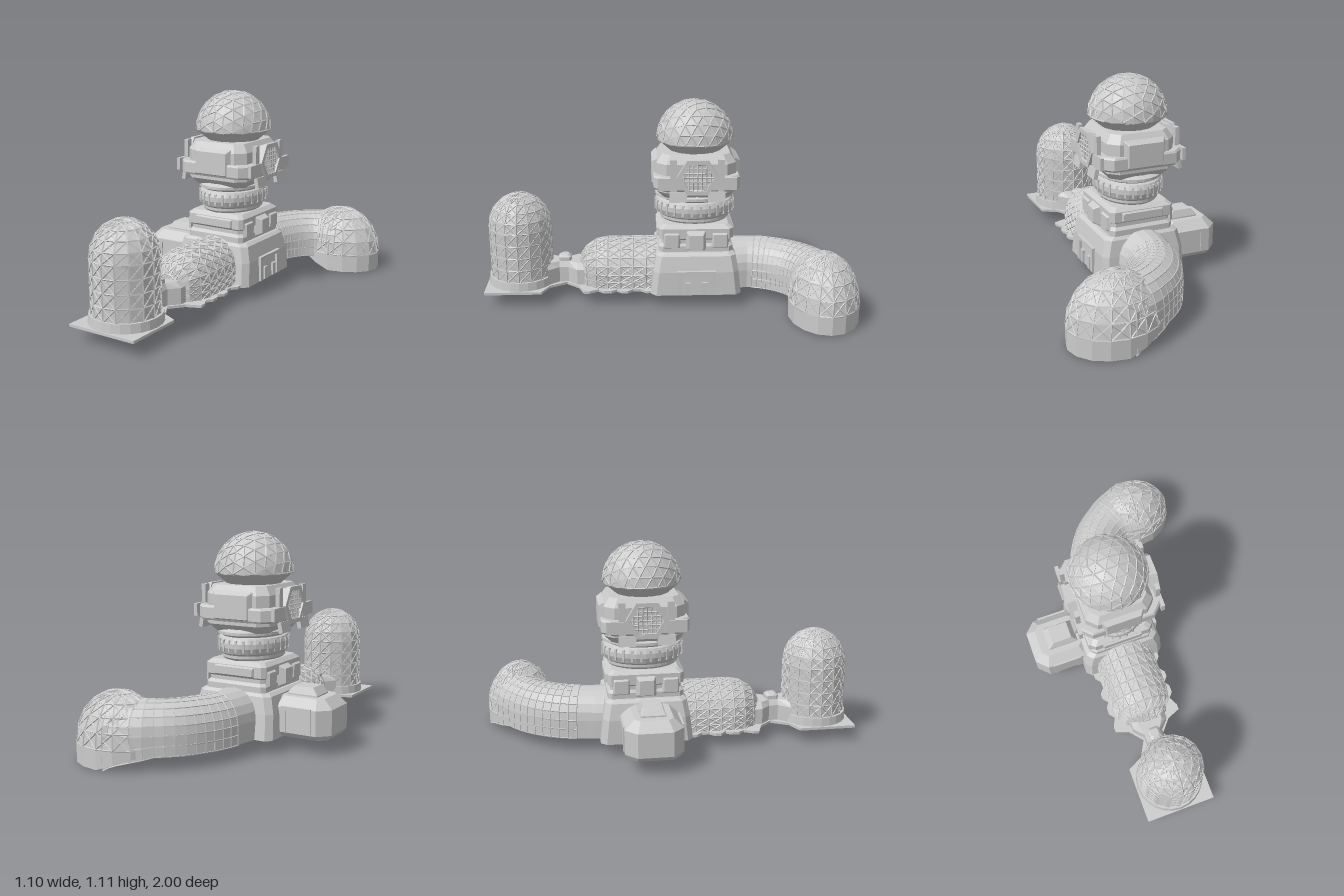
import * as THREE from 'three';
import { mergeGeometries } from 'three/addons/utils/BufferGeometryUtils.js';

const V = (x, y, z) => new THREE.Vector3(x, y, z);
const grey = new THREE.MeshStandardMaterial({ color: 0xcccccc, flatShading: true, side: THREE.DoubleSide });
const CX = -0.055, CZ = -0.15; // tower axis

function mesh(name, geo, parent, x = 0, y = 0, z = 0) {
  const m = new THREE.Mesh(geo, grey);
  m.name = name;
  m.position.set(x, y, z);
  parent.add(m);
  return m;
}

const box = (name, parent, w, h, d, x, y, z) => mesh(name, new THREE.BoxGeometry(w, h, d), parent, x, y, z);

// Closed skin through a list of equal-length loops, capped at both ends
function loft(loops) {
  const pos = [];
  const tri = (a, b, c) => {
    if (a.distanceTo(b) < 1e-5 || b.distanceTo(c) < 1e-5 || a.distanceTo(c) < 1e-5) return;
    pos.push(...a.toArray(), ...b.toArray(), ...c.toArray());
  };
  const n = loops[0].length, last = loops[loops.length - 1];
  for (let i = 0; i + 1 < loops.length; i++) for (let j = 0; j < n; j++) {
    const k = (j + 1) % n, p = loops[i], q = loops[i + 1];
    tri(p[j], p[k], q[k]);
    tri(p[j], q[k], q[j]);
  }
  const mid = l => l.reduce((s, p) => s.add(p), V(0, 0, 0)).divideScalar(n);
  const m0 = mid(loops[0]), m1 = mid(last);
  for (let j = 0; j < n; j++) {
    const k = (j + 1) % n;
    tri(m0, loops[0][k], loops[0][j]);
    tri(m1, last[j], last[k]);
  }
  const g = new THREE.BufferGeometry();
  g.setAttribute('position', new THREE.Float32BufferAttribute(pos, 3));
  g.computeVertexNormals();
  return g;
}

// Block with cut corners; levels are [y, halfX, halfZ, cut]
function block(levels) {
  return loft(levels.map(([y, a, b, c = 0.004]) => [
    [a, -b + c], [a - c, -b], [-a + c, -b], [-a, -b + c], [-a, b - c], [-a + c, b], [a - c, b], [a, b - c],
  ].map(([x, z]) => V(x, y, z)).reverse().map(p => V(p.x, p.y, -p.z)).reverse().map(p => V(p.x, p.y, -p.z))));
}

// Raised panel with bevelled edges, growing along +y before rotation
const panel = (a, b, d, inset) => block([[0, a, b], [d, a - inset, b - inset]]);

// Thin round bars along a list of [start, end] pairs
function struts(name, pairs, r, parent) {
  const up = V(0, 1, 0), geos = [];
  for (const [a, b] of pairs) {
    const d = b.clone().sub(a), len = d.length();
    if (len < 0.006) continue;
    const g = new THREE.CylinderGeometry(r, r, len, 4, 1, true);
    g.applyQuaternion(new THREE.Quaternion().setFromUnitVectors(up, d.normalize()));
    const c = a.clone().add(b).multiplyScalar(0.5);
    geos.push(g.translate(c.x, c.y, c.z));
  }
  return mesh(name, mergeGeometries(geos), parent);
}

// Skin with bars along its grid; cross adds an X to each pane
function lattice(name, loops, parent, { round = false, cross = true, from = 0, r = 0.0045 } = {}) {
  const g = new THREE.Group(), pairs = [], n = loops[0].length;
  g.name = name;
  mesh(name + 'Skin', loft(loops), g);
  for (let i = from; i < loops.length; i++) for (let j = 0; j < n; j++) {
    const k = (j + 1) % n, edge = round || k > 0, p = loops[i], q = loops[i + 1];
    if (edge) pairs.push([p[j], p[k]]);
    if (!q) continue;
    pairs.push([p[j], q[j]]);
    if (edge && cross) pairs.push([p[j], q[k]], [p[k], q[j]]);
  }
  struts(name + 'Struts', pairs, r, g);
  parent.add(g);
}

const ring = (x, y, z, rx, rz = rx, n = 16) => Array.from({ length: n }, (_, j) => {
  const a = (j / n) * Math.PI * 2;
  return V(x + rx * Math.cos(a), y, z - rz * Math.sin(a));
});

// Arched tunnel section at point p, heading along t
function arch(p, t, w, bottom, spring, top, n = 10) {
  const s = V(0, 1, 0).cross(t).normalize();
  const at = (u, y) => V(p.x + s.x * u, y, p.z + s.z * u);
  const pts = [at(w, bottom), at(w, (bottom + spring) / 2)];
  for (let j = 0; j <= n; j++) {
    const a = (j / n) * Math.PI;
    pts.push(at(w * Math.cos(a), spring + (top - spring) * Math.sin(a)));
  }
  return [...pts, at(-w, (bottom + spring) / 2), at(-w, bottom)];
}

function flatShape(pts, depth, holes = []) {
  const s = new THREE.Shape(pts.map(p => new THREE.Vector2(...p)));
  holes.forEach(h => s.holes.push(new THREE.Path(h.map(p => new THREE.Vector2(...p)))));
  return new THREE.ExtrudeGeometry(s, { depth, bevelEnabled: false });
}

function buildFrontRow(root) {
  // Base plate with notched edges, mirrored about the tower axis
  const half = [[0.2, 0.08], [0.2, 0.12], [0.175, 0.15], [0.175, 0.19], [0.2, 0.22], [0.2, 0.25], [0.175, 0.28],
    [0.195, 0.31], [0.195, 0.35], [0.17, 0.38], [0.195, 0.43], [0.195, 0.46], [0.12, 0.49], [0.06, 0.56],
    [0.11, 0.65], [0.195, 0.69], [0.195, 1.0]];
  const outline = [...half, ...half.map(([x, z]) => [-x, z]).reverse()];
  mesh('basePlate', flatShape(outline, 0.014), root, CX, 0.084, 0).rotation.x = Math.PI / 2;

  // Tall silo with domed top
  const z = 0.81, silo = [];
  for (let i = 0; i <= 4; i++) silo.push(ring(CX, 0.125 + i * 0.07, z, 0.17));
  for (let i = 1; i <= 5; i++) {
    const a = (i / 5) * Math.PI / 2;
    silo.push(ring(CX, 0.405 + 0.182 * Math.sin(a), z, 0.17 * Math.cos(a)));
  }
  lattice('silo', silo, root, { round: true });
  mesh('siloBase', new THREE.CylinderGeometry(0.182, 0.187, 0.05, 24), root, CX, 0.105, z);

  // Straight tunnel with rounded end
  const tunnel = [], dir = V(0, 0, 1);
  for (let i = 0; i <= 4; i++) tunnel.push(arch(V(CX, 0, 0.05 + i * 0.07), dir, 0.163, 0.08, 0.16, 0.318));
  for (let i = 1; i <= 4; i++) {
    const a = (i / 4) * Math.PI / 2, c = Math.cos(a);
    tunnel.push(arch(V(CX, 0, 0.33 + 0.165 * Math.sin(a)), dir, 0.163 * c, 0.08, 0.16, 0.16 + 0.158 * c));
  }
  lattice('frontTunnel', tunnel, root);

  // Waisted passage between tunnel and silo
  const waist = [[0.45, 0.1], [0.5, 0.1], [0.55, 0.052], [0.6, 0.052], [0.66, 0.1]];
  mesh('passage', loft(waist.map(([zz, w]) => [[w, 0.08], [w, 0.17], [w * 0.7, 0.2], [-w * 0.7, 0.2], [-w, 0.17], [-w, 0.08]]
    .map(([x, y]) => V(CX + x, y, zz)))), root);
  mesh('passageHatch', block([[0.19, 0.035, 0.035, 0.01], [0.22, 0.035, 0.035, 0.01], [0.232, 0.022, 0.022, 0.01]]), root, CX, 0, 0.57);
}

function buildBackRow(root) {
  // Curved ribbed tunnel
  const path = new THREE.CatmullRomCurve3([V(CX, 0, -0.34), V(-0.052, 0, -0.46), V(-0.015, 0, -0.59),
    V(0.065, 0, -0.71), V(0.18, 0, -0.79), V(0.31, 0, -0.815)]);
  const loops = [];
  for (let i = 0; i <= 18; i++) {
    const u = i / 18, p = path.getPointAt(u);
    const down = THREE.MathUtils.clamp((p.x - 0.13) / 0.18, 0, 1);
    loops.push(arch(p, path.getTangentAt(u), 0.135 + 0.02 * Math.max(0, 1 - u * 6) + 0.045 * down, 0.07 * (1 - down), 0.17, 0.315));
  }
  lattice('curvedTunnel', loops, root, { cross: false, from: 4, r: 0.0035 });

  // Low end dome on a solid foot that slopes up under the tunnel
  const dome = [];
  for (let i = 0; i <= 5; i++) {
    const a = (i / 5) * Math.PI / 2;
    dome.push(ring(0.31, 0.1 + 0.253 * Math.sin(a), -0.815, 0.233 * Math.cos(a), 0.183 * Math.cos(a)));
  }
  lattice('endDome', dome, root, { round: true });
  const foot = ring(0.31, 0, -0.815, 0.235, 0.185);
  foot.forEach(p => { p.y = 0.065 * THREE.MathUtils.clamp((0.31 - p.x) / 0.18, 0, 1); });
  mesh('endDomeFoot', loft([foot, ring(0.31, 0.1, -0.815, 0.235, 0.185)]), root);
}

function buildBody(t) {
  // Stepped body
  mesh('lowerBody', block([[0.07, 0.235, 0.245, 0.03], [0.2, 0.23, 0.23, 0.03], [0.285, 0.21, 0.215, 0.03], [0.3, 0.19, 0.2, 0.03]]), t);
  mesh('upperBody', block([[0.29, 0.175, 0.2, 0.02], [0.33, 0.175, 0.2, 0.02], [0.345, 0.165, 0.185, 0.02],
    [0.365, 0.165, 0.185, 0.02], [0.375, 0.178, 0.2, 0.02], [0.43, 0.178, 0.2, 0.02], [0.45, 0.155, 0.175, 0.02]]), t);
  for (const s of [1, -1]) {
    mesh('sideHatch', panel(0.058, 0.055, 0.042, 0.018), t, s * 0.17, 0.365, 0).rotation.z = -s * Math.PI / 2;
    for (const z of [0.13, -0.13]) mesh('sideRib', panel(0.045, 0.045, 0.018, 0.01), t, s * 0.172, 0.365, z).rotation.z = -s * Math.PI / 2;
    mesh('bodyPanel', panel(0.12, 0.03, 0.015, 0.01), t, 0, 0.4, s * 0.195).rotation.x = s * Math.PI / 2;
  }
  // Side door
  for (const s of [1, -1]) {
    box('doorPost', t, 0.03, 0.12, 0.03, 0.23, 0.135, s * 0.09);
    box('doorStep', t, 0.02, 0.07, 0.03, 0.235, 0.11, s * 0.045);
  }
  box('doorLintel', t, 0.03, 0.02, 0.21, 0.23, 0.2, 0);

  // Ribbed neck, narrower across than deep
  const neck = new THREE.Group();
  neck.name = 'neck';
  neck.scale.x = 0.82;
  t.add(neck);
  const profile = [[0.17, 0.44], [0.19, 0.46], [0.19, 0.475], [0.205, 0.485], [0.218, 0.515], [0.218, 0.54], [0.205, 0.565],
    [0.19, 0.57], [0.2, 0.575], [0.215, 0.582], [0.215, 0.597], [0.19, 0.61]].map(p => new THREE.Vector2(...p));
  mesh('neckRings', new THREE.LatheGeometry(profile, 28), neck);
  for (let i = 0; i < 28; i++) {
    const a = (i + 0.5) / 28 * Math.PI * 2;
    box('neckRib', neck, 0.012, 0.06, 0.012, 0.214 * Math.sin(a), 0.527, 0.214 * Math.cos(a)).rotation.y = a;
  }
}

function buildHead(t) {
  mesh('headCore', block([[0.595, 0.155, 0.17, 0.04], [0.635, 0.185, 0.21, 0.05], [0.79, 0.185, 0.21, 0.05], [0.835, 0.155, 0.18, 0.04]]), t);
  mesh('headBand', block([[0.655, 0.225, 0.222, 0.06], [0.665, 0.232, 0.228, 0.06], [0.72, 0.232, 0.228, 0.06], [0.73, 0.225, 0.222, 0.06]]), t);
  const hex = r => Array.from({ length: 6 }, (_, i) => [r * Math.cos(i * Math.PI / 3), r * 0.98 * Math.sin(i * Math.PI / 3)]);
  for (const s of [1, -1]) {
    // Front and back visor plates
    const visor = mesh('visor', panel(0.115, 0.08, 0.028, 0.02), t, 0, 0.73, s * 0.207);
    visor.rotation.x = s * Math.PI / 2;
    // Side ear: hexagonal frame, grille and fins
    const ear = new THREE.Group();
    ear.name = 'ear';
    ear.position.set(s * 0.225, 0.735, 0);
    ear.rotation.y = s * Math.PI / 2;
    t.add(ear);
    mesh('earFrame', flatShape(hex(0.11), 0.022, [hex(0.085)]), ear);
    mesh('earBack', flatShape(hex(0.1), 0.03), ear, 0, 0, -0.025);
    const bars = [];
    for (let i = -3; i <= 3; i++) {
      const o = i * 0.023, w = 0.085 - Math.abs(o) * 0.577, h = Math.min(0.073, (0.085 - Math.abs(o)) * 1.7);
      bars.push([V(-w, o, 0.012), V(w, o, 0.012)], [V(o, -h, 0.012), V(o, h, 0.012)]);
    }
    struts('earGrille', bars, 0.004, ear);
    for (const k of [1, -1]) {
      box('earArm', ear, 0.11, 0.065, 0.02, k * 0.15, -0.035, 0.004);
      box('earPost', ear, 0.035, 0.17, 0.024, k * 0.125, 0.008, -0.005);
      const fin = box('earFin', ear, 0.09, 0.055, 0.022, k * 0.1, -0.105, 0.01);
      fin.rotation.x = -0.2;
    }
  }

  // Geodesic dome with a tapered underside
  const ico = new THREE.IcosahedronGeometry(0.205, 3), p = ico.attributes.position, pairs = [];
  const seen = new Set(), key = v => v.toArray().map(n => Math.round(n * 1e4) || 0).join();
  for (let i = 0; i < p.count; i += 3) for (let e = 0; e < 3; e++) {
    const a = V(0, 0, 0).fromBufferAttribute(p, i + e), b = V(0, 0, 0).fromBufferAttribute(p, i + (e + 1) % 3);
    const id = [key(a), key(b)].sort().join('|');
    if (a.y < -0.02 || b.y < -0.02 || seen.has(id)) continue;
    seen.add(id);
    pairs.push([a, b]);
  }
  for (let i = 0; i < p.count; i++) if (p.getY(i) < 0) p.setY(i, p.getY(i) * 0.2);
  ico.computeVertexNormals();
  mesh('topDome', ico, t, 0, 0.893, 0);
  struts('topDomeStruts', pairs, 0.0045, t).position.y = 0.893;
  mesh('topDomeCollar', new THREE.CylinderGeometry(0.203, 0.14, 0.055, 14), t, 0, 0.86, 0);
}

// Side pod on the model's right
function buildPod(root) {
  const pod = new THREE.Group();
  pod.name = 'sidePod';
  pod.position.set(-0.38, 0, -0.14);
  root.add(pod);
  mesh('podShell', block([[0.075, 0.15, 0.13, 0.04], [0.1, 0.17, 0.15, 0.06], [0.23, 0.17, 0.15, 0.06], [0.278, 0.12, 0.1, 0.03]]), pod);
  mesh('podHatch', block([[0.27, 0.085, 0.065], [0.285, 0.085, 0.065], [0.322, 0.055, 0.05]]), pod, 0.01);
  box('podLink', pod, 0.12, 0.2, 0.2, 0.17, 0.175, 0);
  for (const s of [1, -1]) {
    for (const x of [-0.07, 0.07]) box('podPost', pod, 0.025, 0.12, 0.012, x, 0.165, s * 0.15);
    box('podLintel', pod, 0.165, 0.02, 0.012, 0, 0.225, s * 0.15);
  }
}

export function createModel() {
  const root = new THREE.Group();
  root.name = 'domedBase';
  const tower = new THREE.Group();
  tower.name = 'tower';
  tower.position.set(CX, 0, CZ);
  root.add(tower);
  buildBody(tower);
  buildHead(tower);
  buildFrontRow(root);
  buildBackRow(root);
  buildPod(root);
  return root;
}
